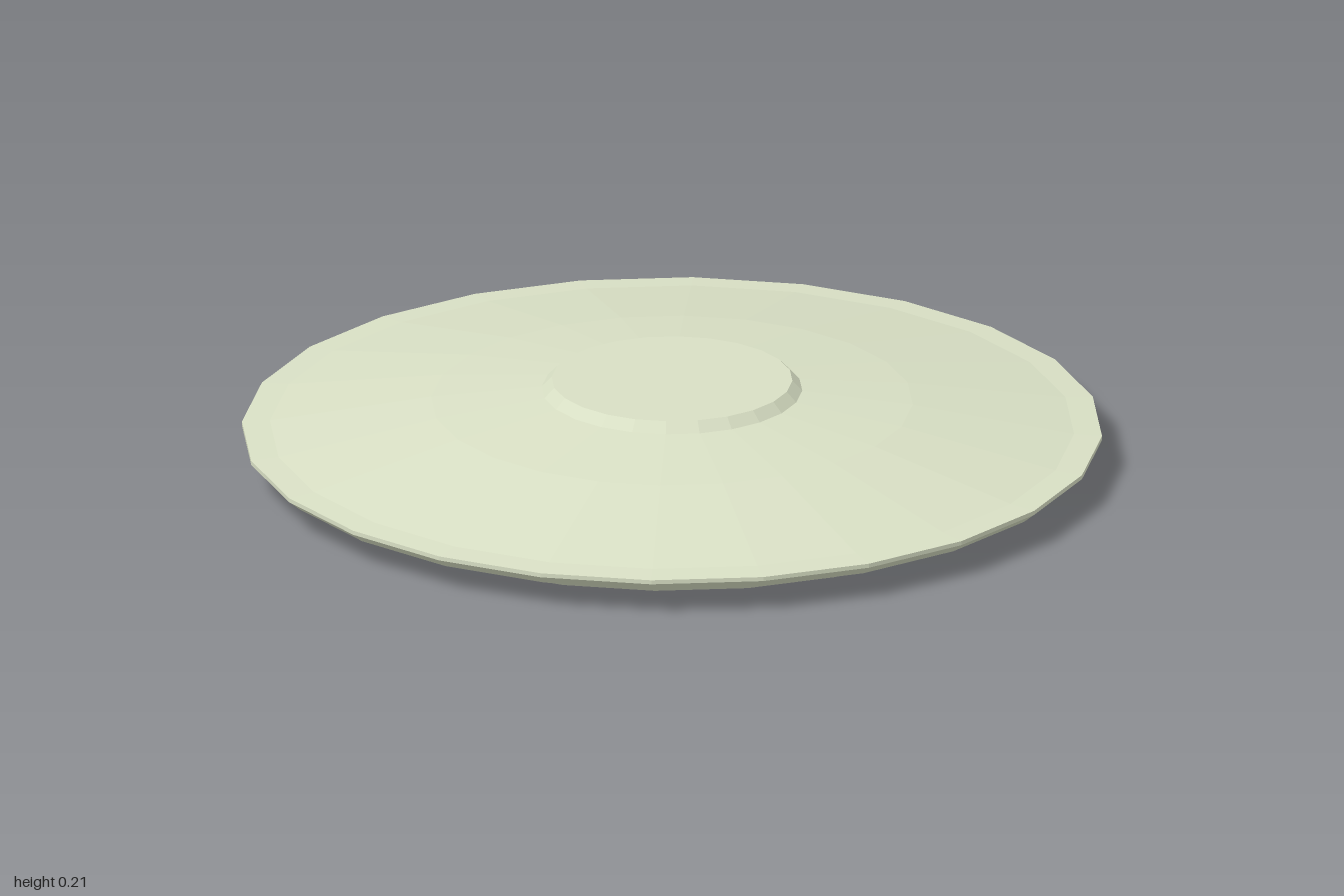
import * as THREE from 'three';

const SIDES = 24;

export function createModel() {
  const group = new THREE.Group();
  const material = new THREE.MeshStandardMaterial({ color: 0xd8dfc4, flatShading: true });

  // Each part is a turned band; profiles run [radius, height] from bottom to top
  const addBand = (name, profile) => {
    const points = profile.map(([r, y]) => new THREE.Vector2(r, y));
    const mesh = new THREE.Mesh(new THREE.LatheGeometry(points, SIDES), material);
    mesh.name = name;
    group.add(mesh);
  };

  // Flat floor with flared sides
  addBand('base', [[0, 0], [0.83, 0], [0.893, 0.057]]);
  // Overhanging lip: flat underside, chamfer, thin edge, flat top
  addBand('rim', [[0.893, 0.057], [0.972, 0.057], [1, 0.08], [1, 0.09], [0.935, 0.094]]);
  // Shallow two-step dome
  addBand('dome', [[0.935, 0.094], [0.56, 0.16], [0.303, 0.19]]);
  // Raised central disc
  addBand('cap', [[0.303, 0.19], [0.28, 0.214], [0, 0.214]]);

  return group;
}
